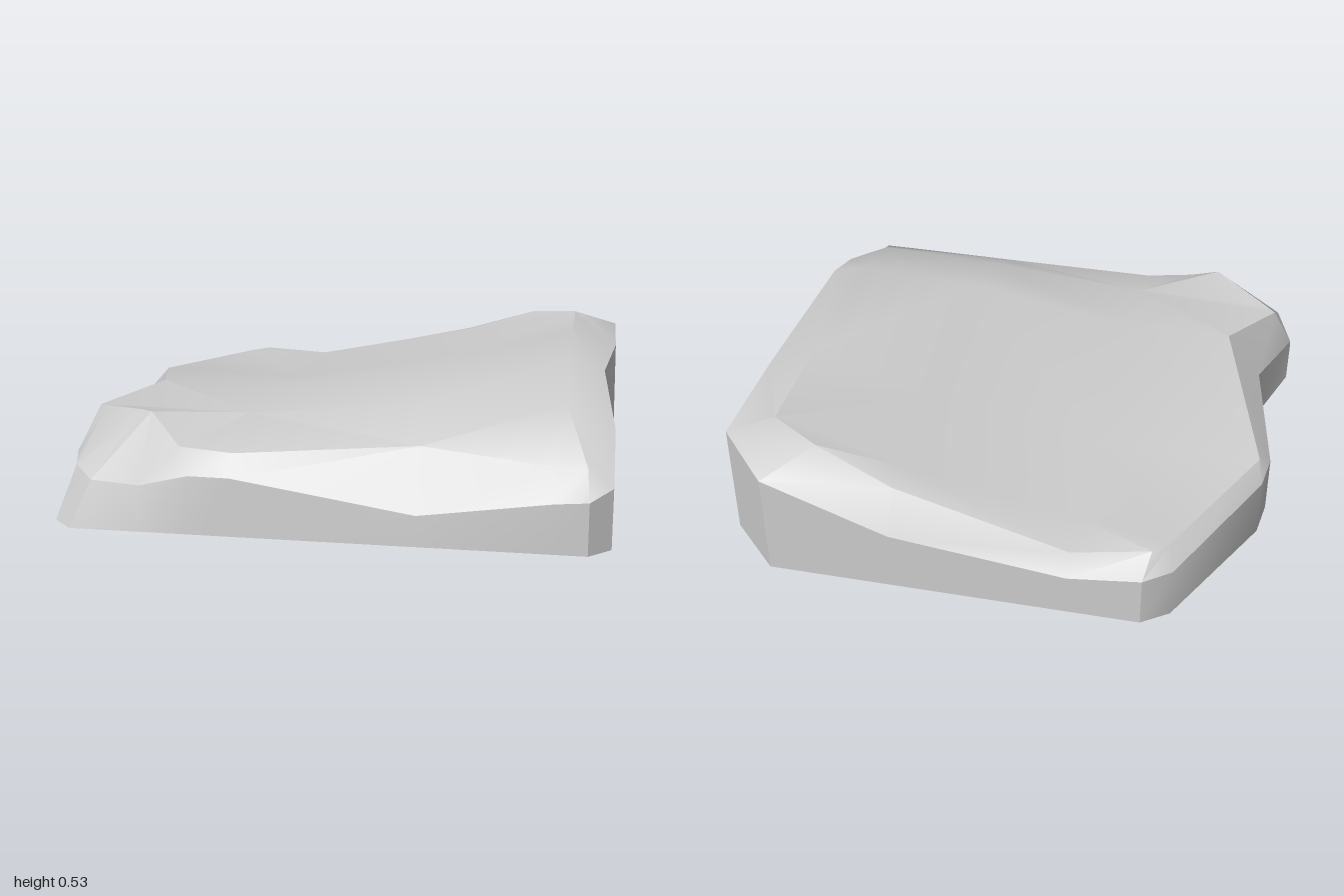
import * as THREE from 'three';
import { toCreasedNormals } from 'three/addons/utils/BufferGeometryUtils.js';

// Stations, anticlockwise from above: [ground x, ground z], rim height,
// shoulder point, and how far the rim leans in from the ground as [x, z]
const stations = [
  // back
  [[0.8, -1], 0.41, [0.63, 0.49, -0.85]],
  [[0.33, -1], 0.235, [0.33, 0.39, -0.91]],
  [[-0.33, -1], 0.16, [-0.33, 0.24, -0.95]],
  [[-0.6, -1], 0.195, [-0.62, 0.265, -0.91]],
  [[-0.7, -0.93], 0.2, [-0.68, 0.265, -0.85]],
  // notched side
  [[-0.965, -0.41], 0.23, [-0.945, 0.285, -0.33]],
  [[-0.985, -0.26], 0.23, [-0.925, 0.297, -0.26]],
  [[-0.89, 0.33], 0.22, [-0.75, 0.395, 0.33]],
  [[-1, 0.66], 0.19, [-0.92, 0.36, 0.61]],
  // raised front corner
  [[-1, 0.92], 0.2, [-0.88, 0.367, 0.645], [0.07, -0.05]],
  [[-0.92, 1], 0.17, [-0.7, 0.395, 0.79], [0.07, -0.05]],
  [[-0.67, 1], 0.16, [-0.65, 0.4, 0.832], [0, -0.04]],
  // front
  [[-0.48, 1], 0.21, [-0.52, 0.305, 0.94], [0, -0.02]],
  [[-0.33, 1], 0.21, [-0.33, 0.285, 0.925], [0, -0.015]],
  [[0.33, 1], 0.11, [0.33, 0.325, 0.865], [0, -0.01]],
  [[0.8, 1], 0.18, [0.8, 0.29, 0.93]],
  [[0.92, 1], 0.19, [0.91, 0.29, 0.93]],
  // straight side
  [[1, 0.92], 0.22, [0.83, 0.365, 0.78]],
  [[1, 0.66], 0.36, [0.83, 0.44, 0.66]],
  [[1, 0.33], 0.495, [0.82, 0.53, 0.33], [-0.045, 0]],
  [[1, -0.33], 0.455, [0.82, 0.52, -0.33]],
  [[1, -0.8], 0.455, [0.82, 0.515, -0.75]],
];

// Points inside the top, two per row from back to front
const middle = [
  [-0.33, 0.275, -0.8], [0.33, 0.405, -0.8],
  [-0.33, 0.27, -0.33], [0.33, 0.39, -0.33],
  [-0.33, 0.39, 0.33], [0.33, 0.5, 0.33],
  [-0.33, 0.365, 0.66], [0.33, 0.42, 0.66],
];

// Builds a mesh from points and triangles, keeping sharp edges sharp
function makeMesh(name, points, triangles, crease) {
  const geometry = new THREE.BufferGeometry();
  geometry.setAttribute('position', new THREE.Float32BufferAttribute(points.flat(), 3));
  geometry.setIndex(triangles.flat());
  const material = new THREE.MeshStandardMaterial({ color: 0xcccccc, side: THREE.DoubleSide });
  const mesh = new THREE.Mesh(toCreasedNormals(geometry, crease), material);
  mesh.name = name;
  return mesh;
}

// Quads joining two closed rings of n points, the second stored after the first
function bandTriangles(n) {
  const triangles = [];
  for (let i = 0; i < n; i++) {
    const j = (i + 1) % n;
    triangles.push([i, j, n + j], [i, n + j, n + i]);
  }
  return triangles;
}

export function createModel() {
  const group = new THREE.Group();
  group.name = 'rockSlab';
  const n = stations.length;

  const ground = stations.map(([[x, z]]) => [x, 0, z]);
  const rim = stations.map(([[x, z], y, , [dx, dz] = [0, 0]]) => [x + dx, y, z + dz]);
  const shoulder = stations.map((station) => station[2]);

  // Upright wall around the open base
  group.add(makeMesh('sideWall', [...ground, ...rim], bandTriangles(n), 0.5));

  // Sloped shoulder and gently rolling top
  const s = (i) => n + i;
  const m = (i) => 2 * n + i;
  const triangles = bandTriangles(n);
  const rows = [
    [s(3), s(2), s(1), s(0)],
    [s(4), m(0), m(1), s(21)],
    [s(5), m(2), m(3), s(20)],
    [s(7), m(4), m(5), s(19)],
    [s(8), m(6), m(7), s(18)],
    [s(12), s(13), s(14), s(15)],
  ];
  for (let r = 0; r < rows.length - 1; r++) {
    for (let c = 0; c < 3; c++) {
      const [a, b] = rows[r].slice(c, c + 2);
      const [d, e] = rows[r + 1].slice(c, c + 2);
      if (r === 4 && c === 0) {
        // the cell behind the raised corner is a fan along its ridge
        for (let i = 8; i < 13; i++) triangles.push([b, s(i), s(i + 1)]);
      } else if (c === 2) {
        triangles.push([a, d, b], [b, d, e]);
      } else {
        triangles.push([a, d, e], [a, e, b]);
      }
    }
  }
  // Slivers beside the notch and at the front corner
  triangles.push([s(5), s(6), s(7)], [s(18), s(15), s(16)], [s(18), s(16), s(17)]);
  group.add(makeMesh('top', [...rim, ...shoulder, ...middle], triangles, 0.6));

  return group;
}
